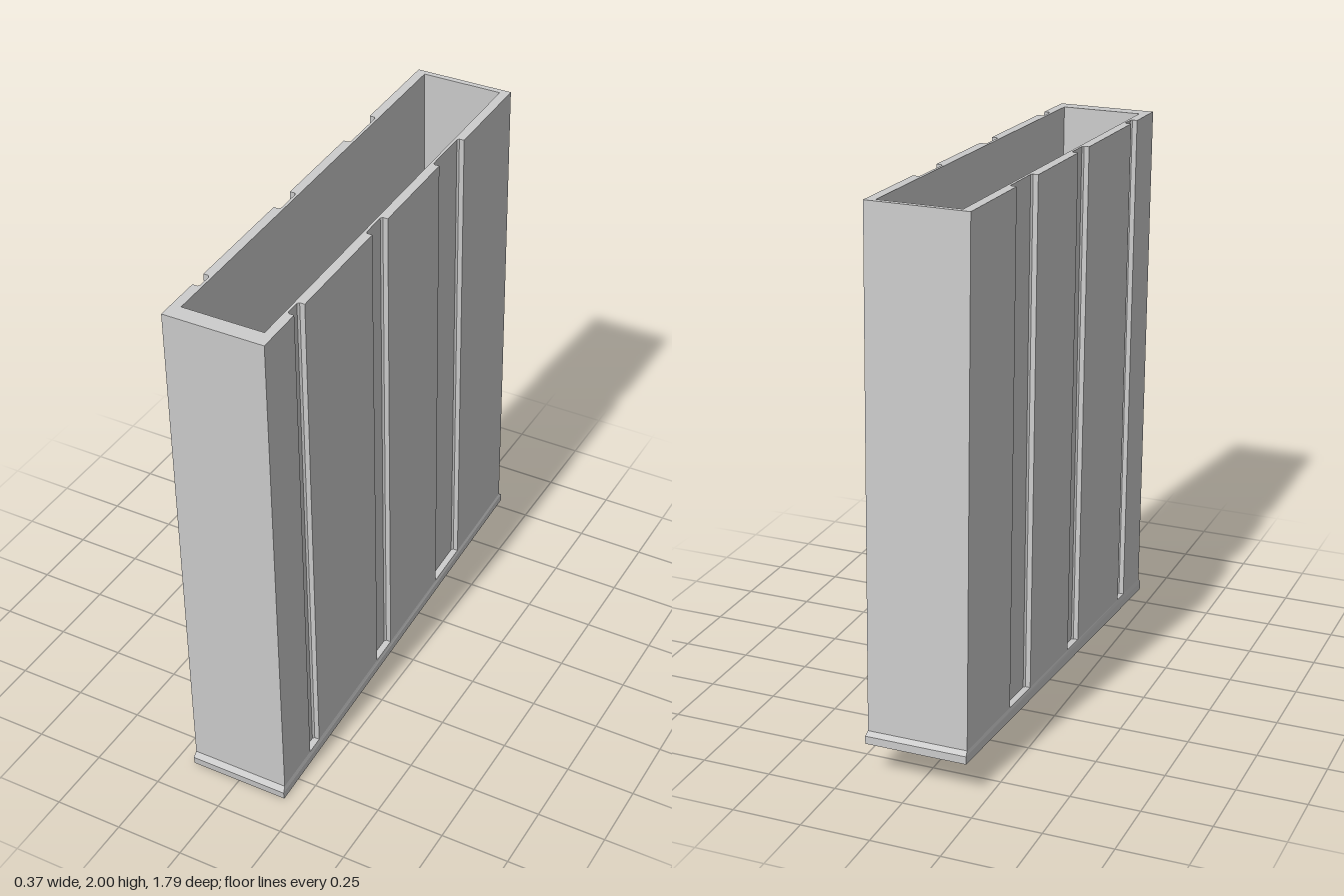
import * as THREE from 'three';

// A sloping cross-section plane: front and back are [z, y]; u runs from front (0) to back (1).
const section = (front, back) => ([x, u]) => new THREE.Vector3(
  x,
  THREE.MathUtils.lerp(front[1], back[1], u),
  THREE.MathUtils.lerp(front[0], back[0], u)
);
const mixPair = (a, b, t) => [a[0] + (b[0] - a[0]) * t, a[1] + (b[1] - a[1]) * t];

const TOP = { front: [0.9, 1.94], back: [-0.81, 2.0] };
const LOW = { front: [0.848, 0.05], back: [-0.875, 0.17] };
const rim = section(TOP.front, TOP.back);
const foot = section(LOW.front, LOW.back);
const lipEdge = section([0.862, 0.03], [-0.892, 0.157]);
const base = section([0.858, 0.0], [-0.892, 0.128]);
const cavityFloor = section(mixPair(LOW.front, TOP.front, 0.46), mixPair(LOW.back, TOP.back, 0.46));

const HALF = 0.182;
const GROOVE = 0.158;
const grooves = [[0.105, 0.143], [0.398, 0.46], [0.675, 0.784]];

const rect = (w, u0, u1) => [[w, u0], [w, u1], [-w, u1], [-w, u0]];

// Groove profile on the +x side, with small chamfers at its inner corners
const grooveProfile = ([a, b]) => [
  [HALF, a], [GROOVE + 0.006, a], [GROOVE, a + 0.004],
  [GROOVE, b - 0.004], [GROOVE + 0.006, b], [HALF, b],
];
const mirror = (loop) => loop.map(([x, u]) => [-x, u]).reverse();

const rightSide = [[HALF, 0], ...grooves.flatMap(grooveProfile), [HALF, 1]];
const groovedLoop = [...rightSide, ...mirror(rightSide)];

// Wall between two loops; faces outward when lower comes first
function wall(out, loop, lower, loopUp, upper) {
  const n = loop.length;
  for (let i = 0; i < n; i++) {
    const j = (i + 1) % n;
    const a = lower(loop[i]), b = lower(loop[j]);
    const c = upper(loopUp[j]), d = upper(loopUp[i]);
    out.push(a, b, c, a, c, d);
  }
}

// Flat cap over a loop, with an optional hole
function cap(out, loop, plane, { hole = null, down = false } = {}) {
  const toV2 = (l) => l.map(([x, u]) => new THREE.Vector2(x, u));
  const shape = new THREE.Shape(toV2(loop));
  if (hole) shape.holes.push(new THREE.Path(toV2(hole)));
  const geo = new THREE.ShapeGeometry(shape).toNonIndexed();
  const p = geo.attributes.position;
  const pts = [];
  for (let i = 0; i < p.count; i++) pts.push(plane([p.getX(i), p.getY(i)]));
  out.push(...(down ? pts.reverse() : pts));
}

function addPart(group, name, material, build) {
  const points = [];
  build(points);
  const geo = new THREE.BufferGeometry().setFromPoints(points);
  geo.computeVertexNormals();
  const mesh = new THREE.Mesh(geo, material);
  mesh.name = name;
  group.add(mesh);
}

export function createModel() {
  const group = new THREE.Group();
  group.name = 'openCase';
  const material = new THREE.MeshStandardMaterial({ color: 0xcccccc, flatShading: true });
  const opening = rect(0.148, 0.035, 0.988);

  // Leaning outer walls with three vertical grooves per side
  addPart(group, 'outerShell', material, (out) => {
    wall(out, groovedLoop, foot, groovedLoop, rim);
    for (const g of grooves) {
      const ledge = grooveProfile(g).reverse();
      cap(out, ledge, foot);
      cap(out, mirror(ledge), foot);
    }
  });

  // Top rim around the opening
  addPart(group, 'rim', material, (out) => cap(out, groovedLoop, rim, { hole: opening }));

  // Inner walls and floor of the cavity
  addPart(group, 'cavity', material, (out) => {
    wall(out, opening, rim, opening, cavityFloor);
    cap(out, opening, cavityFloor);
  });

  // Flared floor plate
  addPart(group, 'basePlate', material, (out) => {
    const inner = rect(HALF, 0, 1), outer = rect(HALF + 0.003, 0, 1);
    wall(out, outer, lipEdge, inner, foot);
    wall(out, outer, base, outer, lipEdge);
    cap(out, outer, base, { down: true });
  });

  return group;
}
